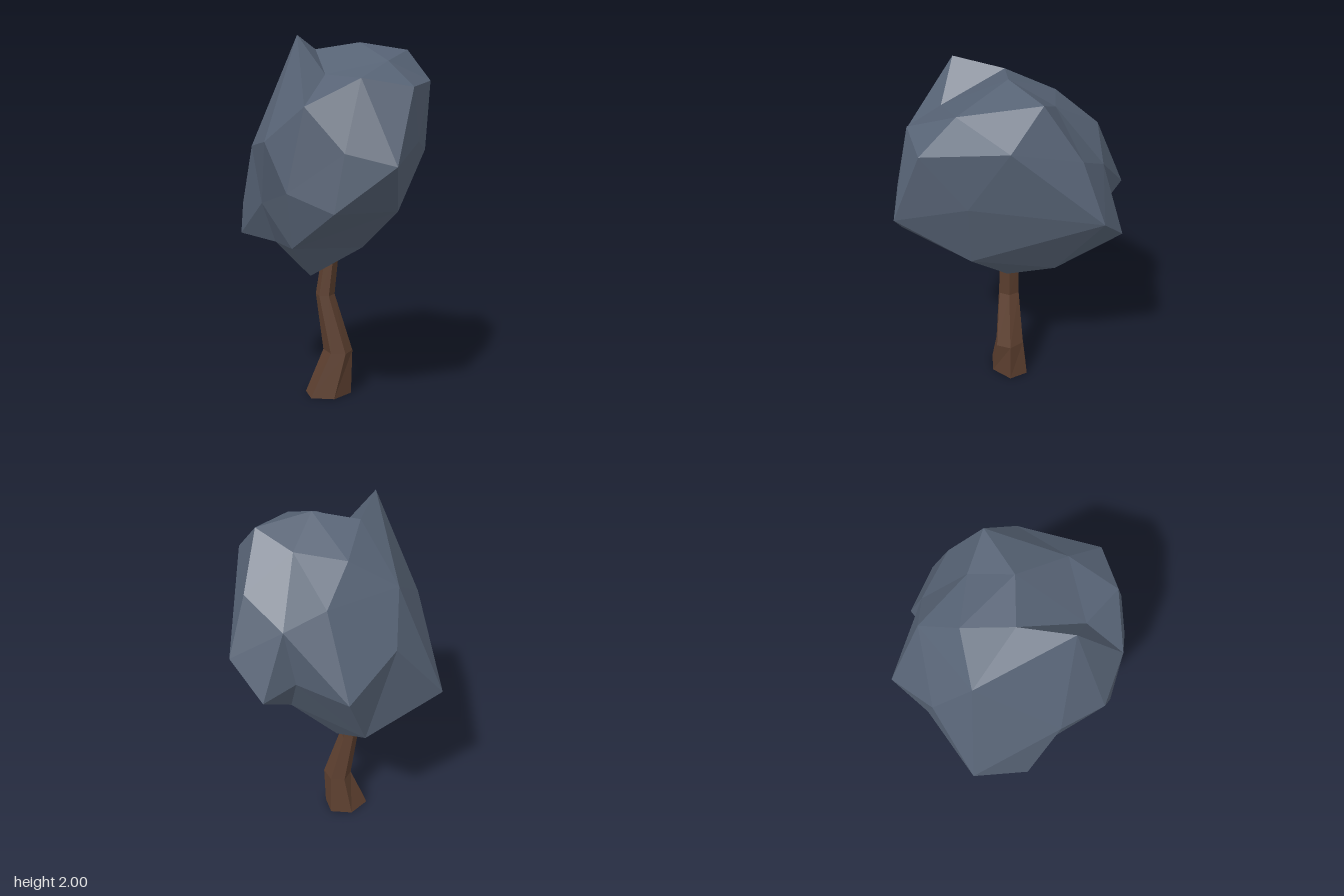
import * as THREE from 'three';
import { ConvexGeometry } from 'three/addons/geometries/ConvexGeometry.js';

const LEAF = new THREE.MeshStandardMaterial({ color: 0x566274, flatShading: true });
const BARK = new THREE.MeshStandardMaterial({ color: 0x5c3f2f, flatShading: true });

// Corners of the faceted crown, from the top down
const crownPoints = [
  // top
  [-0.14, 2.0, 0.295], [-0.08, 1.95, 0.035], [0.16, 1.985, 0.03], [0.415, 1.955, -0.115],
  [0.32, 1.87, 0.28], [0.01, 1.8, 0.36], [-0.04, 1.85, -0.22], [0.225, 1.87, -0.19],
  // shoulder
  [0.54, 1.78, 0.04], [0.45, 1.735, 0.455], [0.2, 1.775, 0.52], [-0.07, 1.64, 0.55],
  [-0.285, 1.695, -0.165], [0.04, 1.7, -0.43], [0.455, 1.69, -0.3], [0.25, 1.57, -0.435],
  // middle
  [0.53, 1.39, -0.41], [0.35, 1.22, -0.54], [0.2, 1.27, -0.435], [-0.08, 1.29, -0.61],
  [-0.29, 1.46, -0.37], [-0.39, 1.44, 0.26], [-0.28, 1.47, 0.475], [0.13, 1.42, 0.6],
  [0.38, 1.36, 0.605], [0.48, 1.465, 0.24],
  // lower edge
  [-0.545, 1.08, -0.18], [-0.49, 0.95, 0.11], [-0.345, 1.135, 0.24], [-0.16, 1.22, 0.54],
  [0.08, 1.13, 0.605], [0.38, 1.1, 0.235], [-0.15, 0.96, -0.45],
  // underside
  [-0.15, 0.93, 0.45], [0.27, 0.96, -0.21], [-0.29, 0.91, -0.11], [-0.29, 0.91, 0.15],
  [0.18, 0.865, 0.04], [0.02, 0.78, -0.22], [-0.095, 0.725, 0.165],
].map((p) => new THREE.Vector3(...p));

// Edges turned to the other diagonal, which opens the notch beside the peak
const crownTurns = [[2, 11], [0, 2]];

// Join the corners by their directions from the middle, then restore their distances
function starGeometry(points, centre, turns) {
  const dirs = points.map((p) => p.clone().sub(centre).normalize());
  const pos = new ConvexGeometry(dirs).attributes.position;
  const v = new THREE.Vector3();
  const nearest = (i) => {
    v.fromBufferAttribute(pos, i);
    return dirs.reduce((best, d, k) => (d.dot(v) > dirs[best].dot(v) ? k : best), 0);
  };
  const faces = [];
  for (let i = 0; i < pos.count; i += 3) faces.push([nearest(i), nearest(i + 1), nearest(i + 2)]);

  const findFace = (a, b) => faces.findIndex((f) => f.some((p, i) => p === a && f[(i + 1) % 3] === b));
  for (const [a, b] of turns) {
    const f = findFace(a, b), g = findFace(b, a);
    if (f < 0 || g < 0) continue;
    const c = faces[f].find((p) => p !== a && p !== b);
    const d = faces[g].find((p) => p !== a && p !== b);
    faces[f] = [c, a, d];
    faces[g] = [d, b, c];
  }
  const geometry = new THREE.BufferGeometry().setFromPoints(faces.flat().map((k) => points[k]));
  geometry.computeVertexNormals();
  return geometry;
}

// Six-sided crooked trunk; each row gives the centre x, height, x radius, z radius and skew
const trunkRows = [
  [-0.012, 0, 0.132, 0.122, -0.2],
  [0.043, 0.26, 0.084, 0.092, 0.12],
  [-0.03, 0.59, 0.054, 0.066, 0],
  [-0.005, 0.79, 0.048, 0.06, 0],
];
function trunkGeometry() {
  const last = trunkRows.length - 1;
  const geometry = new THREE.CylinderGeometry(1, 1, 1, 6, last, false, Math.PI / 2);
  const pos = geometry.attributes.position;
  for (let i = 0; i < pos.count; i++) {
    const [cx, y, rx, rz, skew] = trunkRows[Math.round((pos.getY(i) + 0.5) * last)];
    const z = pos.getZ(i) * rz;
    pos.setXYZ(i, cx + pos.getX(i) * rx + z * skew, y, 0.022 + z);
  }
  geometry.computeVertexNormals();
  return geometry;
}

export function createModel() {
  const tree = new THREE.Group();
  tree.name = 'tree';

  const trunk = new THREE.Mesh(trunkGeometry(), BARK);
  trunk.name = 'trunk';

  const centre = new THREE.Vector3(0.03, 1.4, 0.02);
  const crown = new THREE.Mesh(starGeometry(crownPoints, centre, crownTurns), LEAF);
  crown.name = 'crown';

  tree.add(trunk, crown);
  return tree;
}
